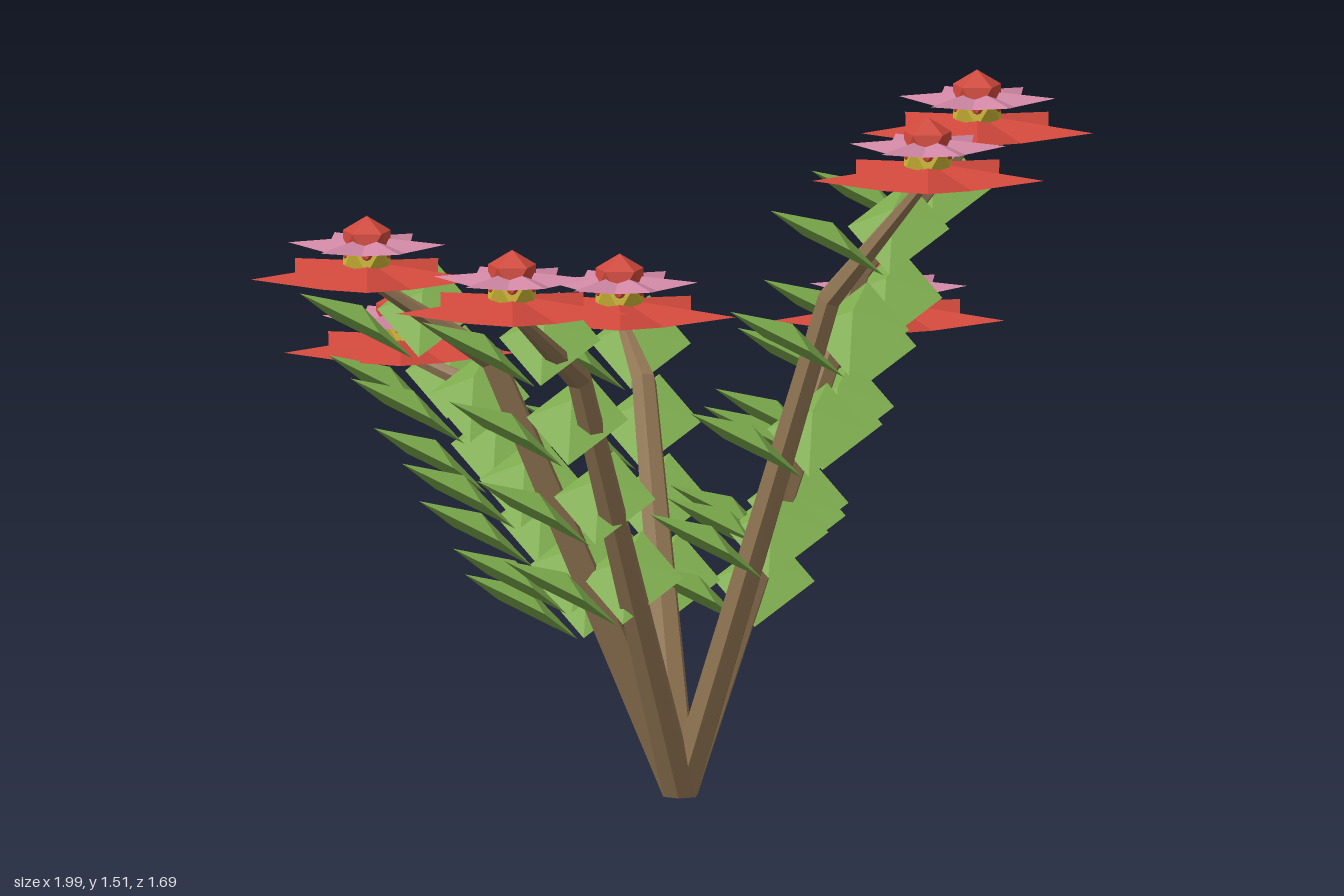
import * as THREE from 'three';

const V = (x, y, z) => new THREE.Vector3(x, y, z);
const paint = (name, color) => Object.assign(new THREE.MeshStandardMaterial({ color }), { name });

// Faceted solid: an outline ring joined to a peak above and a point below
function facetedPlate(ring, top, bottom) {
  const pts = [];
  ring.forEach((p, i) => {
    const q = ring[(i + 1) % ring.length];
    pts.push(top, q, p, bottom, p, q);
  });
  const geo = new THREE.BufferGeometry().setFromPoints(pts);
  geo.computeVertexNormals();
  return geo;
}

// Star of folded petals
function star(points, outer, inner, notchY, topY, bottomY) {
  const ring = [];
  for (let i = 0; i < points * 2; i++) {
    const a = (i * Math.PI) / points;
    const r = i % 2 ? inner : outer;
    ring.push(V(r * Math.cos(a), i % 2 ? notchY : 0, r * Math.sin(a)));
  }
  return facetedPlate(ring, V(0, topY, 0), V(0, bottomY, 0));
}

// Icosahedron with one corner straight up
function poleBall(radius) {
  const geo = new THREE.IcosahedronGeometry(radius, 0);
  geo.rotateZ(Math.atan(2 / (1 + Math.sqrt(5))));
  geo.computeVertexNormals();
  return geo;
}

// Six-sided tapering stem with a bend
function stemGeometry(base, bend, tip) {
  const up = V(0, 1, 0);
  const lower = bend.clone().sub(base).normalize();
  const upper = tip.clone().sub(bend).normalize();
  const rows = [
    { c: base, r: 0.04, d: up },
    { c: bend, r: 0.028, d: lower.add(upper).normalize() },
    { c: tip, r: 0.012, d: upper },
  ];
  const geo = new THREE.CylinderGeometry(1, 1, 1, 6, 2).toNonIndexed();
  const pos = geo.attributes.position;
  for (let i = 0; i < pos.count; i++) {
    const row = rows[Math.round((pos.getY(i) + 0.5) * 2)];
    const turn = new THREE.Quaternion().setFromUnitVectors(up, row.d);
    const p = V(pos.getX(i) * row.r, 0, pos.getZ(i) * row.r).applyQuaternion(turn).add(row.c);
    pos.setXYZ(i, p.x, p.y, p.z);
  }
  geo.computeVertexNormals();
  return geo;
}

export function createModel() {
  const bark = paint('brown bark', 0x917653);
  const green = paint('leaf green', 0x7dab4d);
  const red = paint('petal red', 0xd0483c);
  const pink = paint('petal pink', 0xcf86a3);
  const yellow = paint('pollen yellow', 0xcdb535);

  const plant = new THREE.Group();
  plant.name = 'floweringShrub';
  const add = (parent, name, geo, mat, at) => {
    const mesh = new THREE.Mesh(geo, mat);
    mesh.name = name;
    if (at) mesh.position.copy(at);
    parent.add(mesh);
  };

  // Leaf shapes: flat underneath, peaked on top, mirrored for the other side
  const outline = [V(0, 0, 0), V(0.07, 0.08, -0.16), V(0.24, 0.16, -0.125), V(0.17, 0.08, 0.035)];
  const peak = V(0.1, 0.122, -0.0625);
  const under = V(0.12, 0.08, -0.0625);
  const flip = (p) => V(-p.x, p.y, p.z);
  const leftLeaf = facetedPlate(outline, peak, under);
  const rightLeaf = facetedPlate(outline.map(flip).reverse(), flip(peak), flip(under));

  // Flower shapes
  const outerPetals = star(5, 0.26, 0.16, -0.014, 0.028, -0.022);
  const innerPetals = star(6, 0.168, 0.1, -0.012, 0.016, -0.014);
  const pollen = poleBall(0.06);
  const bud = poleBall(0.06);

  // Flower centres
  const flowers = [
    [0.04, 1.387, 0.6], [0.62, 1.387, 0.31], [0.74, 0.937, -0.01], [0.44, 0.937, -0.5],
    [-0.22, 0.937, -0.6], [-0.59, 1.16, -0.42], [-0.78, 1.16, 0.1],
  ];
  const base = V(-0.03, 0, 0);

  for (const [x, y, z] of flowers) {
    const branch = new THREE.Group();
    branch.name = 'branch';
    plant.add(branch);
    const end = V(x, y, z);

    // Bent stem
    const bend = base.clone().lerp(end, 0.6);
    bend.y = 0.6 * y + 0.267;
    add(branch, 'stem', stemGeometry(base, bend, V(x, y - 0.01, z)), bark);

    // Four pairs of leaves
    for (let i = 0; i < 4; i++) {
      const at = base.clone().lerp(end, 0.35 + i * 0.163);
      add(branch, 'leftLeaf', leftLeaf, green, at.clone().add(V(0.005, 0, 0)));
      add(branch, 'rightLeaf', rightLeaf, green, at.clone().add(V(-0.015, 0, 0)));
    }

    // Flower head
    const flower = new THREE.Group();
    flower.name = 'flower';
    flower.position.copy(end);
    branch.add(flower);
    add(flower, 'outerPetals', outerPetals, red);
    add(flower, 'pollen', pollen, yellow, V(0, 0.035, 0));
    add(flower, 'innerPetals', innerPetals, pink, V(0, 0.065, 0));
    add(flower, 'bud', bud, red, V(0, 0.065, 0));
  }
  return plant;
}
